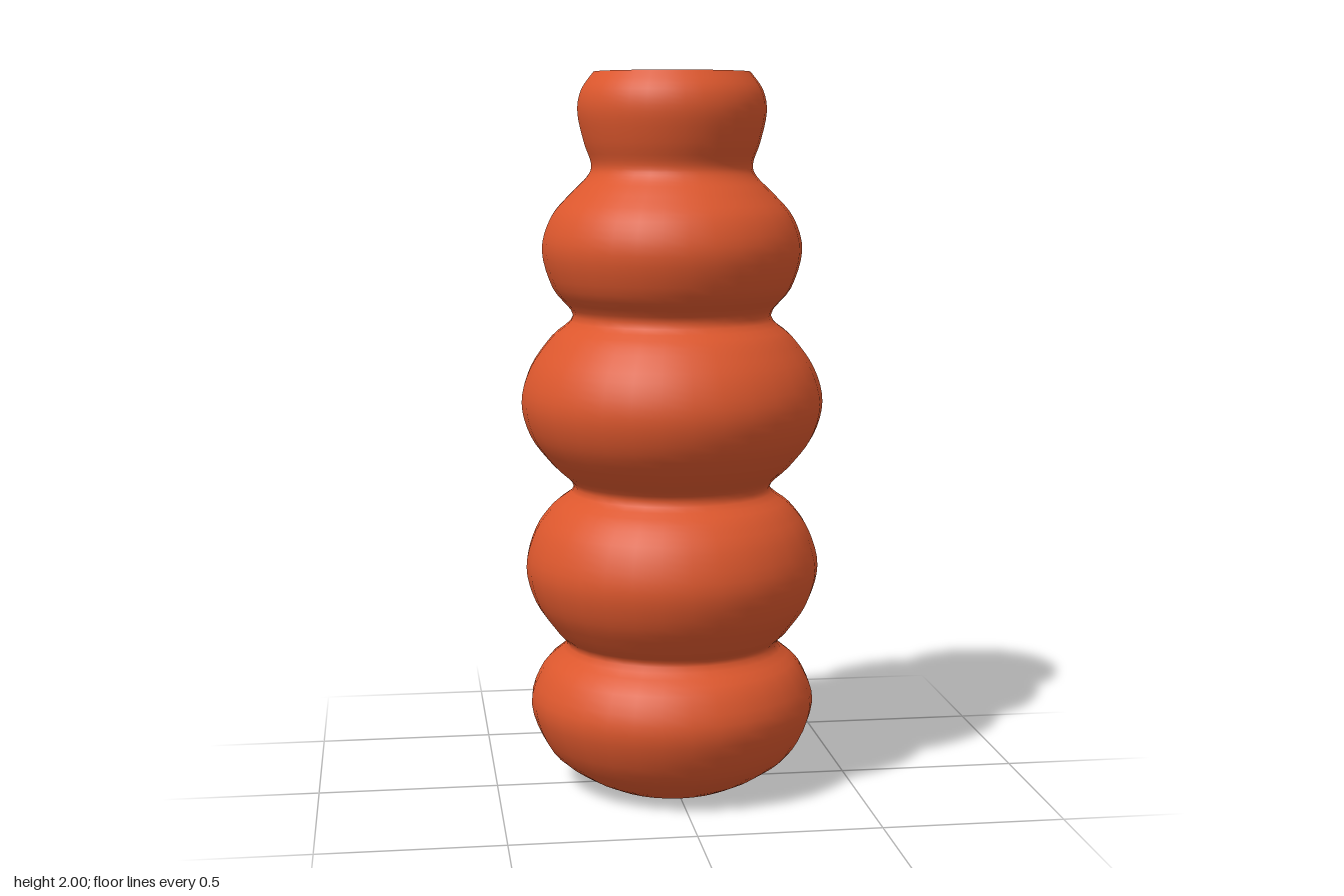
import * as THREE from 'three';

const SIDES = 32;

export function createModel() {
  const group = new THREE.Group();
  group.name = 'ribbedVase';

  const terracotta = new THREE.MeshStandardMaterial({ color: 0xdc572d });
  terracotta.name = 'terracotta';

  const points = (list) => list.map(([r, y]) => new THREE.Vector2(r, y));
  const addLathe = (name, profile) => {
    const mesh = new THREE.Mesh(new THREE.LatheGeometry(profile, SIDES), terracotta);
    mesh.name = name;
    group.add(mesh);
  };

  // Outer wall: four stacked bulges and a rounded neck, from foot to rim
  const wall = new THREE.SplineCurve(points([
    [0.185, 0], [0.265, 0.04], [0.35, 0.11], [0.4, 0.235], [0.365, 0.34], [0.298, 0.405],
    [0.33, 0.45], [0.385, 0.53], [0.411, 0.63], [0.385, 0.73], [0.335, 0.8], [0.275, 0.855],
    [0.335, 0.92], [0.395, 1.0], [0.42, 1.095], [0.395, 1.19], [0.335, 1.275], [0.275, 1.335],
    [0.33, 1.41], [0.36, 1.515], [0.335, 1.605], [0.28, 1.67], [0.235, 1.715],
    [0.223, 1.75], [0.243, 1.81], [0.26, 1.89], [0.25, 1.95], [0.215, 2],
  ]));
  addLathe('outerWall', wall.getPoints(108));

  // Flat foot, rim ring and straight-sided hollow
  addLathe('foot', points([[0, 0], [0.185, 0]]));
  addLathe('rim', points([[0.215, 2], [0.185, 2]]));
  addLathe('innerWall', points([[0.185, 2], [0.185, 0.06]]));
  addLathe('innerFloor', points([[0.185, 0.06], [0, 0.06]]));

  return group;
}
